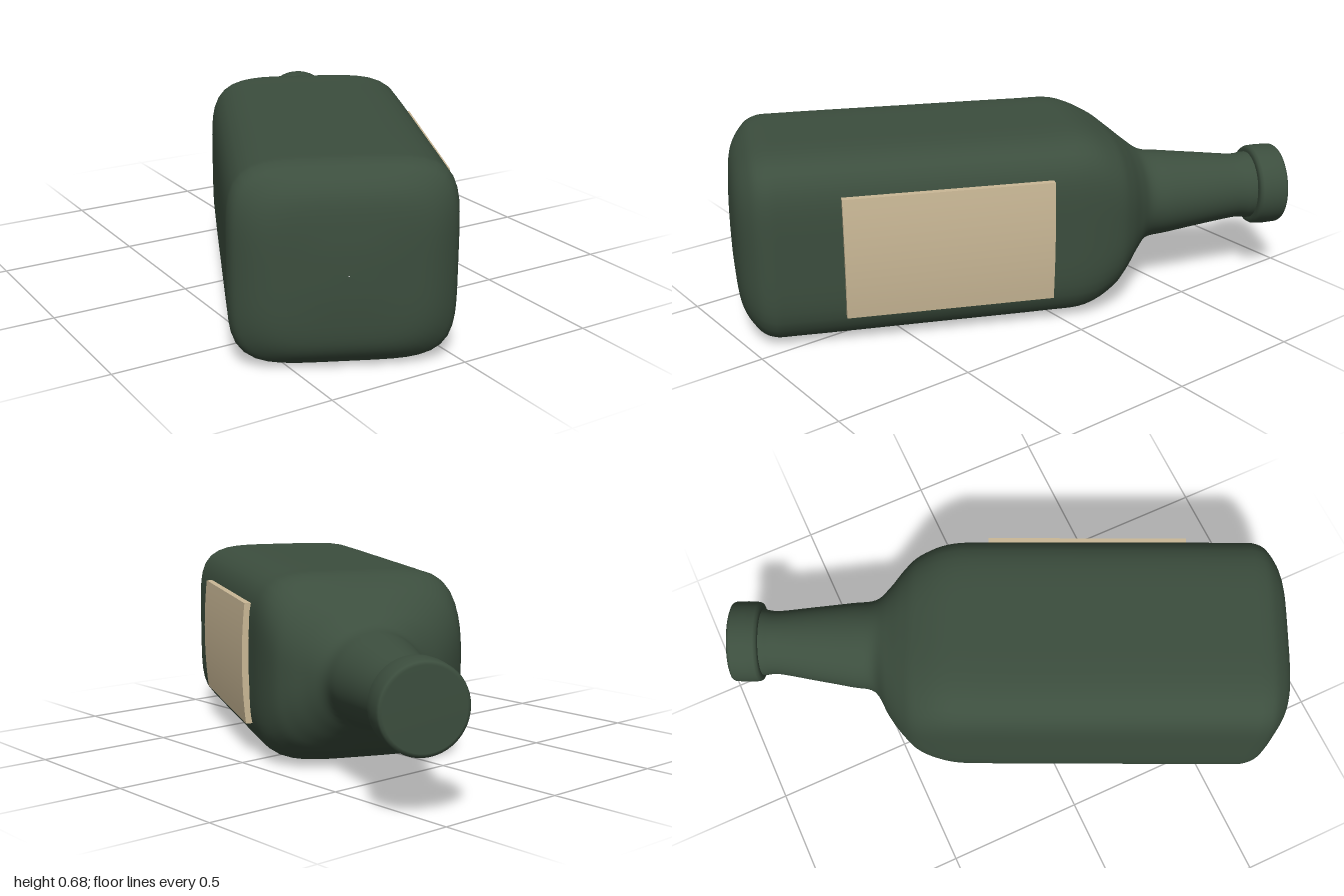
import * as THREE from 'three';

// Smooth closed loft along -z. Station: [t, centreX, centreY, halfX, halfY, squareness]
function loft(stations, steps, segs = 72) {
  const rows = [];
  const cr = (a, b, c, d, u) => 0.5 * (2 * b + (c - a) * u + (2 * a - 5 * b + 4 * c - d) * u * u
    + (3 * b - a - 3 * c + d) * u * u * u);
  const last = stations.length - 1;
  for (let i = 0; i < last; i++) {
    const [p, q, r, s] = [i - 1, i, i + 1, i + 2].map(k => stations[Math.min(Math.max(k, 0), last)]);
    for (let k = 0; k < steps; k++) rows.push(q.map((_, m) => cr(p[m], q[m], r[m], s[m], k / steps)));
  }
  rows.push(stations[last]);
  const pos = [], index = [];
  rows.forEach(([t, cx, cy, hx, hy, n], i) => {
    for (let j = 0; j < segs; j++) {
      const a = (j / segs) * Math.PI * 2, c = Math.cos(a), s = Math.sin(a);
      const r = 1 / Math.pow(Math.abs(c) ** n + Math.abs(s) ** n, 1 / n);
      pos.push(cx + hx * r * c, cy + hy * r * s, -t);
      if (i === rows.length - 1) continue;
      const k = i * segs + j, k1 = i * segs + (j + 1) % segs;
      index.push(k, k + segs, k1, k1, k + segs, k1 + segs);
    }
  });
  const g = new THREE.BufferGeometry();
  g.setAttribute('position', new THREE.Float32BufferAttribute(pos, 3));
  g.setIndex(index);
  g.computeVertexNormals();
  return g;
}

export function createModel() {
  const glass = new THREE.MeshStandardMaterial({ color: 0x3c4e3e });
  glass.name = 'dark green glass';
  const paper = new THREE.MeshStandardMaterial({ color: 0xcbb997 });
  paper.name = 'cream paper';

  const bottle = new THREE.Group();
  bottle.name = 'bottle';
  const add = (name, geometry, material) => {
    const mesh = new THREE.Mesh(geometry, material);
    mesh.name = name;
    bottle.add(mesh);
    return mesh;
  };

  // Squarish body flowing through the shoulder into a round neck
  add('bodyAndNeck', loft([
    [-0.975, 0.037, 0.347, 0.002, 0.002, 3.5],
    [-0.972, 0.037, 0.347, 0.12, 0.11, 3.5],
    [-0.957, 0.037, 0.347, 0.25, 0.235, 4],
    [-0.915, 0.037, 0.347, 0.328, 0.302, 4.5],
    [-0.86, 0.037, 0.347, 0.362, 0.333, 5],
    [-0.75, 0.037, 0.347, 0.366, 0.338, 5],
    [-0.3, 0.037, 0.346, 0.367, 0.336, 5],
    [0.1, 0.037, 0.345, 0.367, 0.334, 5],
    [0.26, 0.037, 0.345, 0.364, 0.332, 4.6],
    [0.37, 0.037, 0.346, 0.342, 0.292, 3.6],
    [0.43, 0.04, 0.348, 0.302, 0.25, 2.9],
    [0.485, 0.045, 0.35, 0.24, 0.205, 2.4],
    [0.54, 0.068, 0.354, 0.174, 0.168, 2],
    [0.63, 0.072, 0.355, 0.158, 0.155, 2],
    [0.77, 0.076, 0.357, 0.137, 0.137, 2],
    [0.9, 0.08, 0.358, 0.118, 0.122, 2],
    [0.95, 0.081, 0.358, 0.122, 0.126, 2],
    [0.99, 0.082, 0.358, 0.122, 0.126, 2],
  ], 5), glass);

  // Rounded stopper over the mouth
  const profile = [[0, 0], [0.13, 0], [0.144, 0.004], [0.149, 0.014], [0.151, 0.055],
    [0.149, 0.1], [0.144, 0.109], [0.134, 0.113], [0, 0.113]].map(p => new THREE.Vector2(...p));
  const cap = add('cap', new THREE.LatheGeometry(profile, 48), glass);
  cap.rotation.x = -Math.PI / 2;
  cap.position.set(0.084, 0.358, -0.962);

  // Label bent to follow the bulge of the side
  const label = new THREE.BoxGeometry(0.024, 0.436, 0.728, 1, 12, 1);
  const p = label.attributes.position;
  for (let i = 0; i < p.count; i++) p.setX(i, p.getX(i) - 0.012 * (p.getY(i) / 0.218) ** 2);
  label.computeVertexNormals();
  add('label', label, paper).position.set(0.418, 0.345, 0.246);

  bottle.rotation.y = -25 * Math.PI / 180;
  const model = new THREE.Group();
  model.name = 'lyingBottle';
  model.add(bottle);
  return model;
}
